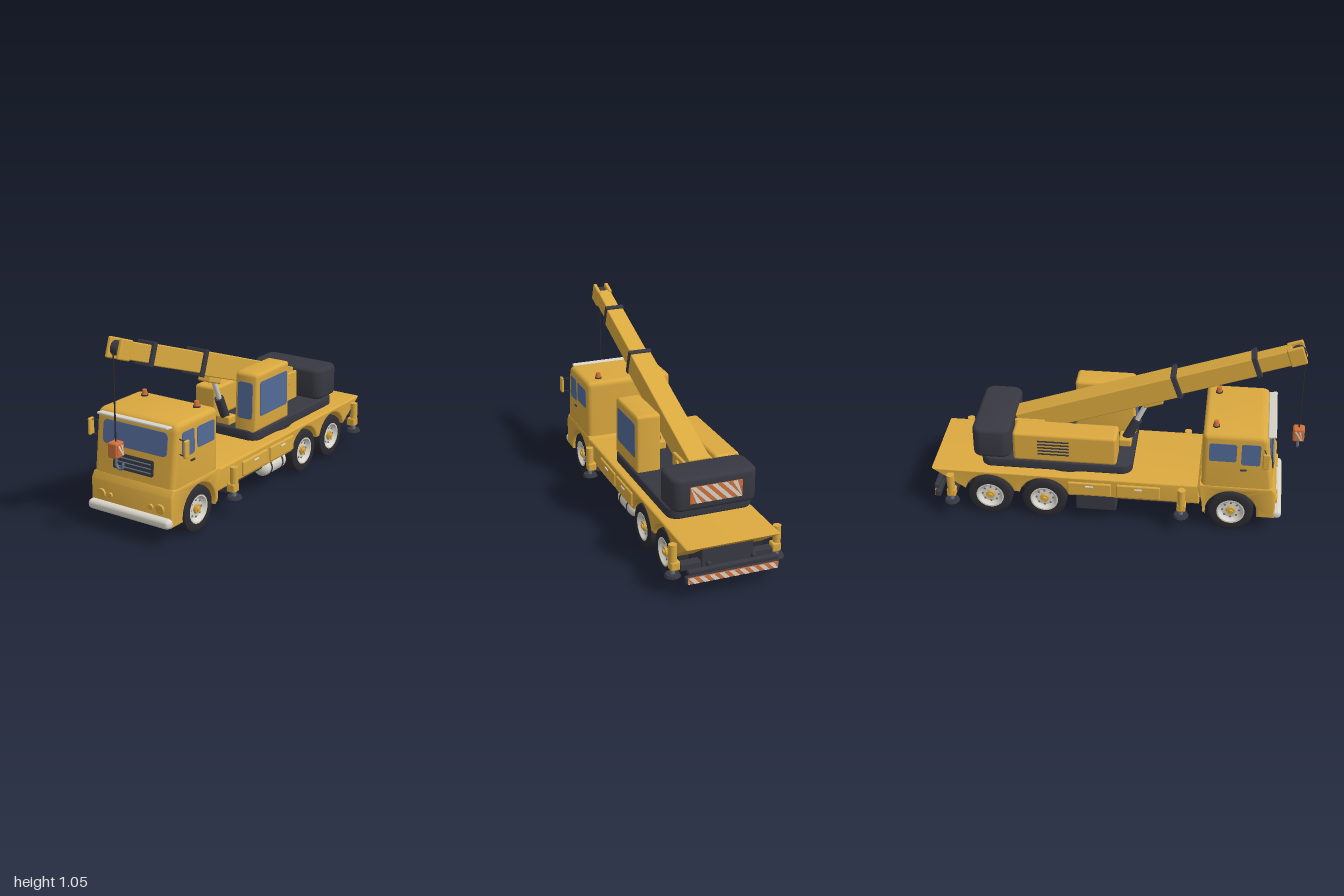
import * as THREE from 'three';
import { toCreasedNormals } from 'three/addons/utils/BufferGeometryUtils.js';
import { RoundedBoxGeometry } from 'three/addons/geometries/RoundedBoxGeometry.js';

const paint = (name, color) => Object.assign(new THREE.MeshStandardMaterial({ color }), { name });

export function createModel() {
  const yellow = paint('yellow', 0xdba93f), dark = paint('charcoal', 0x383842), rubber = paint('rubber', 0x2b2b31);
  const glass = paint('glass', 0x536b98), cream = paint('cream', 0xd9d5ca), orange = paint('orange', 0xd0703c);
  const steel = paint('steel', 0x64798f);
  const model = new THREE.Group();
  model.name = 'craneTruck';

  // Helpers
  const add = (name, geo, mat, x = 0, y = 0, z = 0, parent = model) => {
    const m = new THREE.Mesh(geo, mat);
    m.name = name;
    m.position.set(x, y, z);
    parent.add(m);
    return m;
  };
  const box = (name, mat, w, h, d, x, y, z, r = 0.008, parent = model) =>
    add(name, new RoundedBoxGeometry(w, h, d, 2, Math.min(r, w / 2.1, h / 2.1, d / 2.1)), mat, x, y, z, parent);
  const rod = (name, mat, r, a, b, parent = model, r2 = r, sides = 20) => {
    const p = new THREE.Vector3(...a), q = new THREE.Vector3(...b), dir = q.clone().sub(p);
    const m = add(name, new THREE.CylinderGeometry(r2, r, dir.length(), sides), mat, 0, 0, 0, parent);
    m.position.copy(p).add(q).multiplyScalar(0.5);
    m.quaternion.setFromUnitVectors(new THREE.Vector3(0, 1, 0), dir.normalize());
    return m;
  };
  const extrude = (shape, depth, b = 0) => {
    const g = new THREE.ExtrudeGeometry(shape, {
      depth: depth - 2 * b, bevelEnabled: b > 0, bevelSize: b, bevelThickness: b, bevelOffset: -b, bevelSegments: 4, curveSegments: 12,
    });
    g.translate(0, 0, b - depth / 2);
    return toCreasedNormals(g, 0.6);
  };
  // Side profile (z, y) extruded across x
  const sideExtrude = (shape, w, b) => extrude(shape, w, b).rotateY(-Math.PI / 2);
  const rrect = (w, h, r) => {
    const s = new THREE.Shape(), x = w / 2, y = h / 2;
    s.absarc(x - r, y - r, r, 0, Math.PI / 2);
    s.absarc(r - x, y - r, r, Math.PI / 2, Math.PI);
    s.absarc(r - x, r - y, r, Math.PI, Math.PI * 1.5);
    s.absarc(x - r, r - y, r, Math.PI * 1.5, Math.PI * 2);
    s.closePath();
    return s;
  };
  const slab = (name, mat, w, d, h, r, b, x, y, z) =>
    add(name, extrude(rrect(w, d, r), h, b).rotateX(-Math.PI / 2), mat, x, y, z);
  const panel = (name, mat, w, h, x, y, z, r = 0.012) => add(name, extrude(rrect(w, h, r), 0.008), mat, x, y, z);
  const sidePanel = (name, mat, w, h, x, y, z, r) => {
    const p = panel(name, mat, w, h, x, y, z, r);
    p.rotation.y = Math.sign(x) * Math.PI / 2;
    return p;
  };
  // Orange plate with slanted cream stripes, facing +z
  const hazard = (name, w, h, n) => {
    const g = new THREE.Group(), pitch = w / n, clamp = (x) => Math.max(-w / 2, Math.min(w / 2, x));
    g.name = name;
    add(name + 'Base', new THREE.BoxGeometry(w, h, 0.006), orange, 0, 0, 0, g);
    for (let i = -1; i < n; i++) {
      const x = -w / 2 + i * pitch, s = new THREE.Shape();
      s.moveTo(clamp(x), h / 2);
      s.lineTo(clamp(x + h), -h / 2);
      s.lineTo(clamp(x + h + pitch / 2), -h / 2);
      s.lineTo(clamp(x + pitch / 2), h / 2);
      add(name + 'Stripe', new THREE.ShapeGeometry(s), cream, 0, 0, 0.0045, g);
    }
    model.add(g);
    return g;
  };
  const arch = (s, z, y) => {
    const a = Math.asin((0.12 - y) / 0.14);
    s.absarc(z, 0.12, 0.14, Math.PI + a, -a, true);
  };

  // Chassis deck with rear wheel arches
  const deck = new THREE.Shape();
  deck.moveTo(-1, 0.16);
  arch(deck, -0.685, 0.16);
  arch(deck, -0.385, 0.16);
  deck.lineTo(0.46, 0.16);
  deck.lineTo(0.46, 0.283);
  deck.lineTo(-1, 0.283);
  add('deck', sideExtrude(deck, 0.5, 0.012), yellow);
  box('rearFrame', dark, 0.28, 0.16, 0.7, 0, 0.19, -0.57);
  box('frontFrame', dark, 0.28, 0.16, 0.34, 0, 0.19, 0.63);
  for (const x of [-0.1, 0.1]) box('frameRail', dark, 0.05, 0.05, 1.4, x, 0.15, -0.22);
  for (const x of [-0.21, 0.21]) box('sideRail', dark, 0.025, 0.035, 0.4, x, 0.152, 0.21);

  // Driver's cab
  const low = new THREE.Shape();
  low.moveTo(0.445, 0.1);
  arch(low, 0.63, 0.1);
  [[0.866, 0.1], [0.866, 0.26], [0.845, 0.295], [0.46, 0.295], [0.445, 0.28]].forEach((p) => low.lineTo(...p));
  add('cabLower', sideExtrude(low, 0.51, 0.012), yellow);
  const up = new THREE.Shape();
  up.moveTo(0.465, 0.26);
  up.lineTo(0.849, 0.26);
  up.lineTo(0.811, 0.575);
  up.quadraticCurveTo(0.806, 0.62, 0.765, 0.62);
  up.lineTo(0.495, 0.62);
  up.quadraticCurveTo(0.465, 0.62, 0.465, 0.59);
  add('cabUpper', sideExtrude(up, 0.502, 0.028), yellow);
  const frontZ = (y) => 0.845 - 0.121 * (y - 0.29);
  const onFront = (m) => { m.rotation.x = -0.12; return m; };
  onFront(panel('windshield', glass, 0.4, 0.122, 0, 0.51, frontZ(0.51) + 0.002, 0.025));
  onFront(panel('grille', dark, 0.25, 0.082, 0, 0.375, frontZ(0.375) + 0.003, 0.01));
  for (let i = 0; i < 3; i++) {
    const y = 0.352 + i * 0.022;
    onFront(box('grilleSlat', steel, 0.225, 0.006, 0.008, 0, y, frontZ(y) + 0.007, 0.002));
  }
  onFront(box('sunVisor', cream, 0.44, 0.014, 0.045, 0, 0.603, 0.825, 0.006));
  box('frontBumper', cream, 0.515, 0.052, 0.055, 0, 0.126, 0.874, 0.022);
  for (const s of [-1, 1]) {
    for (const [x, r] of [[0.185, 0.028], [0.128, 0.016]])
      rod('headlight', yellow, r, [s * x, 0.19, 0.86], [s * x, 0.19, 0.876], model, r * 0.85);
    sidePanel('frontSideWindow', glass, 0.1, 0.13, s * 0.25, 0.506, 0.72, 0.014);
    sidePanel('rearSideWindow', glass, 0.145, 0.11, s * 0.25, 0.512, 0.573, 0.014);
    box('doorHandle', dark, 0.01, 0.01, 0.035, s * 0.254, 0.408, 0.685, 0.004);
    box('mirror', yellow, 0.016, 0.092, 0.038, s * 0.3, 0.506, 0.8, 0.007);
    for (const y of [0.466, 0.544]) rod('mirrorArm', dark, 0.003, [s * 0.235, y, 0.785], [s * 0.295, y, 0.8], model, 0.003, 8);
    rod('beaconBase', dark, 0.019, [s * 0.165, 0.615, 0.53], [s * 0.165, 0.627, 0.53]);
    rod('beacon', orange, 0.016, [s * 0.165, 0.627, 0.53], [s * 0.165, 0.653, 0.53], model, 0.012);
  }

  // Wheels and axles
  const tyre = new THREE.LatheGeometry([[0.072, -0.045], [0.105, -0.048], [0.118, -0.042], [0.122, -0.03], [0.122, 0.03],
    [0.118, 0.042], [0.105, 0.048], [0.072, 0.045]].map((p) => new THREE.Vector2(...p)), 40);
  const rim = new THREE.LatheGeometry([[0.0, 0.03], [0.05, 0.026], [0.06, 0.034], [0.068, 0.046], [0.076, 0.046],
    [0.076, 0.0]].reverse().map((p) => new THREE.Vector2(...p)), 32);
  for (const z of [0.63, -0.385, -0.685]) {
    rod('axle', dark, 0.022, [-0.2, 0.12, z], [0.2, 0.12, z]);
    add('differential', new THREE.SphereGeometry(0.045, 20, 14), dark, 0, 0.115, z);
    for (const s of [-1, 1]) {
      const w = new THREE.Group();
      w.name = 'wheel';
      w.position.set(s * 0.2, 0.122, z);
      w.rotation.z = -s * Math.PI / 2;
      model.add(w);
      add('tyre', toCreasedNormals(tyre, 0.7), rubber, 0, 0, 0, w);
      add('rim', toCreasedNormals(rim, 0.5), cream, 0, 0, 0, w);
      rod('wheelBack', dark, 0.078, [0, -0.04, 0], [0, 0.0, 0], w);
      rod('hub', yellow, 0.027, [0, 0.025, 0], [0, 0.042, 0], w, 0.025, 6);
      rod('hubCap', yellow, 0.014, [0, 0.04, 0], [0, 0.05, 0], w, 0.011);
      for (let i = 0; i < 8; i++) {
        const a = i * Math.PI / 4;
        rod('rimHole', steel, 0.006, [0.045 * Math.cos(a), 0.025, 0.045 * Math.sin(a)],
          [0.045 * Math.cos(a), 0.03, 0.045 * Math.sin(a)], w, 0.006, 8);
      }
    }
  }

  // Outriggers
  for (const z of [0.365, -0.89]) {
    box('outriggerBeam', dark, 0.5, 0.04, 0.05, 0, 0.145, z);
    for (const s of [-1, 1]) {
      rod('outriggerLeg', yellow, 0.021, [s * 0.28, 0.15, z], [s * 0.28, 0.272, z]);
      box('outriggerSleeve', yellow, 0.05, 0.05, 0.05, s * 0.272, 0.158, z, 0.01);
      rod('outriggerJack', steel, 0.012, [s * 0.28, 0.11, z], [s * 0.28, 0.14, z]);
      rod('outriggerFoot', dark, 0.042, [s * 0.28, 0.1, z], [s * 0.28, 0.113, z], model, 0.036);
    }
  }

  // Tool lockers, fuel tank and battery box
  for (const s of [-1, 1]) for (const z of [0.13, -0.135]) {
    box('toolLocker', yellow, 0.02, 0.082, 0.238, s * 0.25, 0.216, z);
    box('lockerHandle', cream, 0.008, 0.01, 0.045, s * 0.262, 0.236, z, 0.003);
  }
  const tank = add('fuelTank', new THREE.CapsuleGeometry(0.049, 0.18, 8, 24), cream, 0.2, 0.128, -0.1);
  tank.rotation.x = Math.PI / 2;
  tank.scale.y = 0.85;
  for (const z of [-0.045, -0.155]) rod('tankStrap', dark, 0.051, [0.2, 0.128, z - 0.006], [0.2, 0.128, z + 0.006]);
  box('batteryBox', dark, 0.1, 0.1, 0.22, -0.2, 0.125, -0.1);

  // Rear underrun bar
  box('rearBar', dark, 0.48, 0.025, 0.03, 0, 0.155, -0.982);
  box('underrunBar', dark, 0.5, 0.04, 0.03, 0, 0.112, -0.977);
  for (const x of [-0.12, 0.12]) box('underrunPost', dark, 0.025, 0.09, 0.025, x, 0.14, -0.965);
  const rearStripes = hazard('rearStripes', 0.48, 0.034, 9);
  rearStripes.position.set(0, 0.112, -0.993);
  rearStripes.rotation.y = Math.PI;

  // Slewing platform and counterweight
  rod('slewRing', dark, 0.2, [0, 0.275, -0.265], [0, 0.315, -0.265], model, 0.2, 48);
  slab('platform', dark, 0.46, 0.82, 0.055, 0.06, 0.008, 0, 0.338, -0.318);
  slab('counterweight', dark, 0.46, 0.208, 0.178, 0.055, 0.022, 0, 0.453, -0.668);
  const weightStripes = hazard('weightStripes', 0.28, 0.09, 5);
  weightStripes.position.set(0, 0.452, -0.773);
  weightStripes.rotation.y = Math.PI;

  // Engine housing with louvres
  box('engineHousing', yellow, 0.14, 0.175, 0.56, -0.158, 0.448, -0.27, 0.018);
  for (let i = 0; i < 5; i++) box('louvre', dark, 0.006, 0.009, 0.17, -0.228, 0.412 + i * 0.02, -0.33, 0.002);

  // Operator's cabin
  const cabin = new THREE.Shape();
  cabin.moveTo(0.085, 0.36);
  cabin.lineTo(0.073, 0.655);
  cabin.quadraticCurveTo(0.072, 0.68, 0.045, 0.68);
  cabin.lineTo(-0.23, 0.68);
  cabin.quadraticCurveTo(-0.25, 0.68, -0.25, 0.66);
  cabin.lineTo(-0.25, 0.36);
  add('operatorCabin', sideExtrude(cabin, 0.135, 0.016), yellow, 0.155);
  sidePanel('cabinSideWindow', glass, 0.265, 0.19, 0.221, 0.537, -0.093, 0.015);
  panel('cabinFrontWindow', glass, 0.092, 0.2, 0.155, 0.53, 0.079, 0.015).rotation.x = -0.04;

  // Boom mast and pivot
  for (const s of [-1, 1]) box('mastPlate', yellow, 0.02, 0.165, 0.165, s * 0.073, 0.442, -0.478, 0.006);
  rod('boomPivot', yellow, 0.022, [-0.092, 0.485, -0.47], [0.092, 0.485, -0.47]);

  // Telescopic boom
  const boom = new THREE.Group();
  boom.name = 'boom';
  boom.position.set(0, 0.775, 0.31);
  boom.rotation.x = -0.336;
  model.add(boom);
  const section = (name, mat, w, h, a, b, r) => box(name, mat, w, h, b - a, 0, 0, (a + b) / 2, r, boom);
  section('boomBase', yellow, 0.12, 0.128, -0.9, 0, 0.006);
  section('boomMiddle', yellow, 0.098, 0.108, -0.05, 0.436, 0.006);
  section('boomTip', yellow, 0.076, 0.09, 0.4, 0.63, 0.006);
  section('lowerCollar', dark, 0.13, 0.144, -0.014, 0.014, 0.005);
  section('upperCollar', dark, 0.108, 0.126, 0.422, 0.45, 0.005);
  for (const s of [-1, 1]) box('headCheek', yellow, 0.022, 0.104, 0.088, s * 0.034, 0, 0.65, 0.008, boom);
  rod('pulley', dark, 0.037, [-0.018, 0.002, 0.66], [0.018, 0.002, 0.66], boom, 0.037, 28);
  box('cylinderBracket', yellow, 0.08, 0.04, 0.11, 0, -0.075, -0.16, 0.008, boom);

  // Lifting cylinder
  box('cylinderFoot', yellow, 0.09, 0.05, 0.07, 0, 0.385, 0.035, 0.01);
  rod('liftBarrel', dark, 0.026, [0, 0.385, 0.035], [0, 0.52, 0.1]);
  rod('liftRod', cream, 0.014, [0, 0.51, 0.095], [0, 0.64, 0.155]);

  // Rope, hook block and hook
  rod('rope', rubber, 0.004, [0, 0.52, 0.968], [0, 1.0, 0.968], model, 0.004, 8);
  box('hookBlock', orange, 0.058, 0.08, 0.062, 0, 0.495, 0.968, 0.01);
  for (const s of [-1, 1]) {
    const h = hazard('blockStripes', 0.044, 0.055, 2);
    h.position.set(s * 0.029, 0.495, 0.968);
    h.rotation.y = s * Math.PI / 2;
  }
  const hookPath = new THREE.CatmullRomCurve3([[0, 0.46], [0, 0.435], [0.002, 0.412], [0.02, 0.397], [0.039, 0.405], [0.043, 0.425]]
    .map(([x, y]) => new THREE.Vector3(x, y, 0.968)));
  add('hook', new THREE.TubeGeometry(hookPath, 24, 0.007, 10), steel);
  add('hookPoint', new THREE.SphereGeometry(0.007, 10, 8), steel, 0.043, 0.425, 0.968);
  return model;
}
